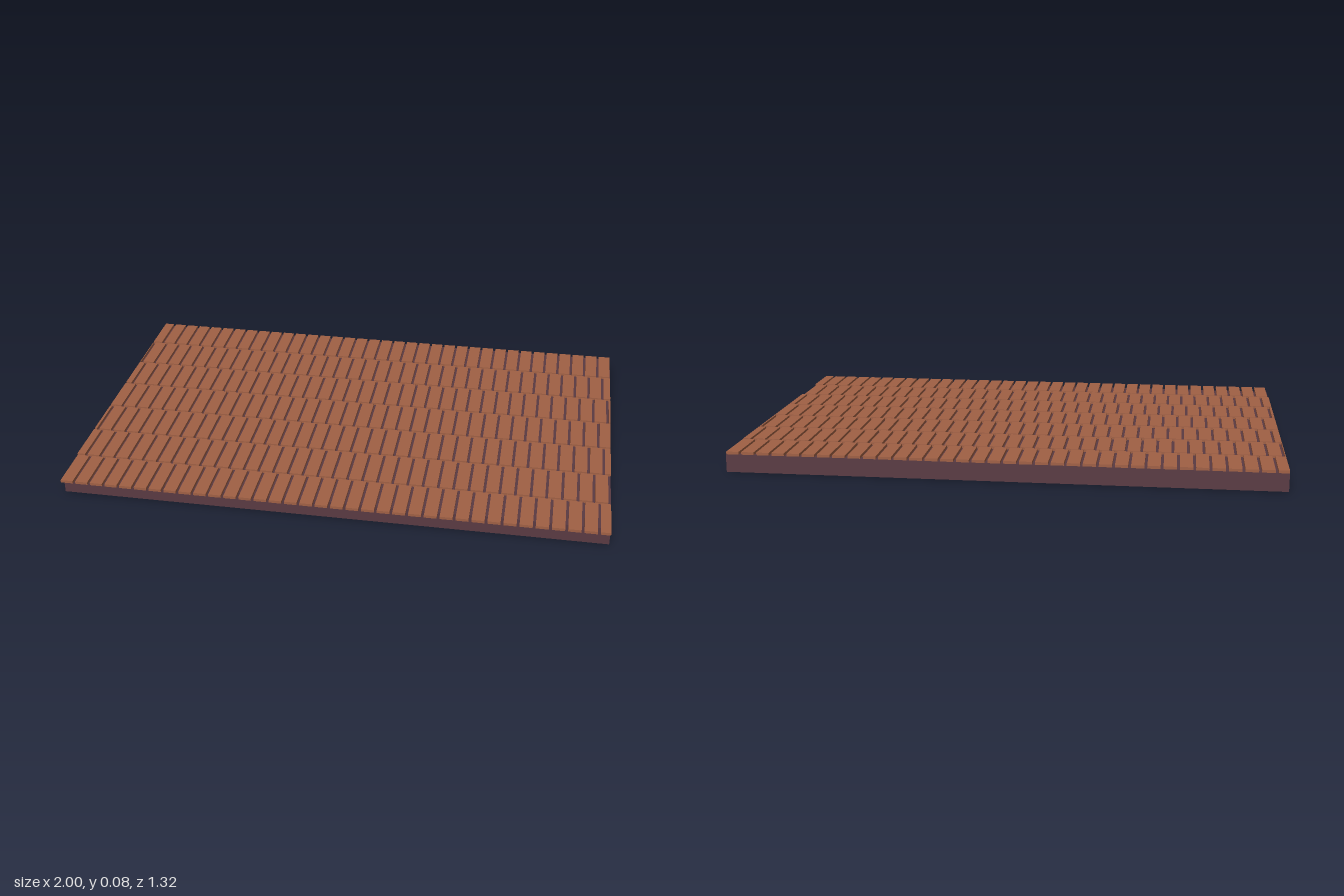
import * as THREE from 'three';

const HALF_X = 1, HALF_Z = 0.66;
const ROWS = 7, ROW_PITCH = 0.1902, ROW_GAP = 0.009;
const TILE_PITCH = 0.056, TILE_GAP = 0.01, ROW_SHIFT = 0.0208;
const BASE_TOP = 0.066, TILE_THICKNESS = 0.01;

function addBox(parent, name, material, [x0, x1], [y0, y1], [z0, z1]) {
  const mesh = new THREE.Mesh(new THREE.BoxGeometry(x1 - x0, y1 - y0, z1 - z0), material);
  mesh.position.set((x0 + x1) / 2, (y0 + y1) / 2, (z0 + z1) / 2);
  mesh.name = name;
  parent.add(mesh);
}

export function createModel() {
  const model = new THREE.Group();
  model.name = 'tiledRoofPanel';
  const baseMaterial = new THREE.MeshStandardMaterial({ color: 0x5a3a42 });
  const tileMaterial = new THREE.MeshStandardMaterial({ color: 0xa06044 });

  // Solid slab, set back at the front so the first tiles overhang
  addBox(model, 'base', baseMaterial, [-HALF_X, HALF_X], [0, BASE_TOP], [-HALF_Z, 0.62]);

  // Rows of narrow tiles, each row shifted sideways and trimmed at both ends
  for (let row = 0; row < ROWS; row++) {
    const group = new THREE.Group();
    group.name = `tileRow${row + 1}`;
    model.add(group);
    const z0 = -HALF_Z + row * ROW_PITCH;
    const z1 = Math.min(z0 + ROW_PITCH - ROW_GAP, HALF_Z);
    const firstGap = -0.957 + ((row * ROW_SHIFT) % TILE_PITCH) - 2 * TILE_PITCH;
    for (let x = firstGap; x < HALF_X; x += TILE_PITCH) {
      const x0 = Math.max(x + TILE_GAP / 2, -HALF_X);
      const x1 = Math.min(x + TILE_PITCH - TILE_GAP / 2, HALF_X);
      if (x1 - x0 < 0.002) continue;
      addBox(group, 'tile', tileMaterial, [x0, x1], [BASE_TOP, BASE_TOP + TILE_THICKNESS], [z0, z1]);
    }
  }
  return model;
}
